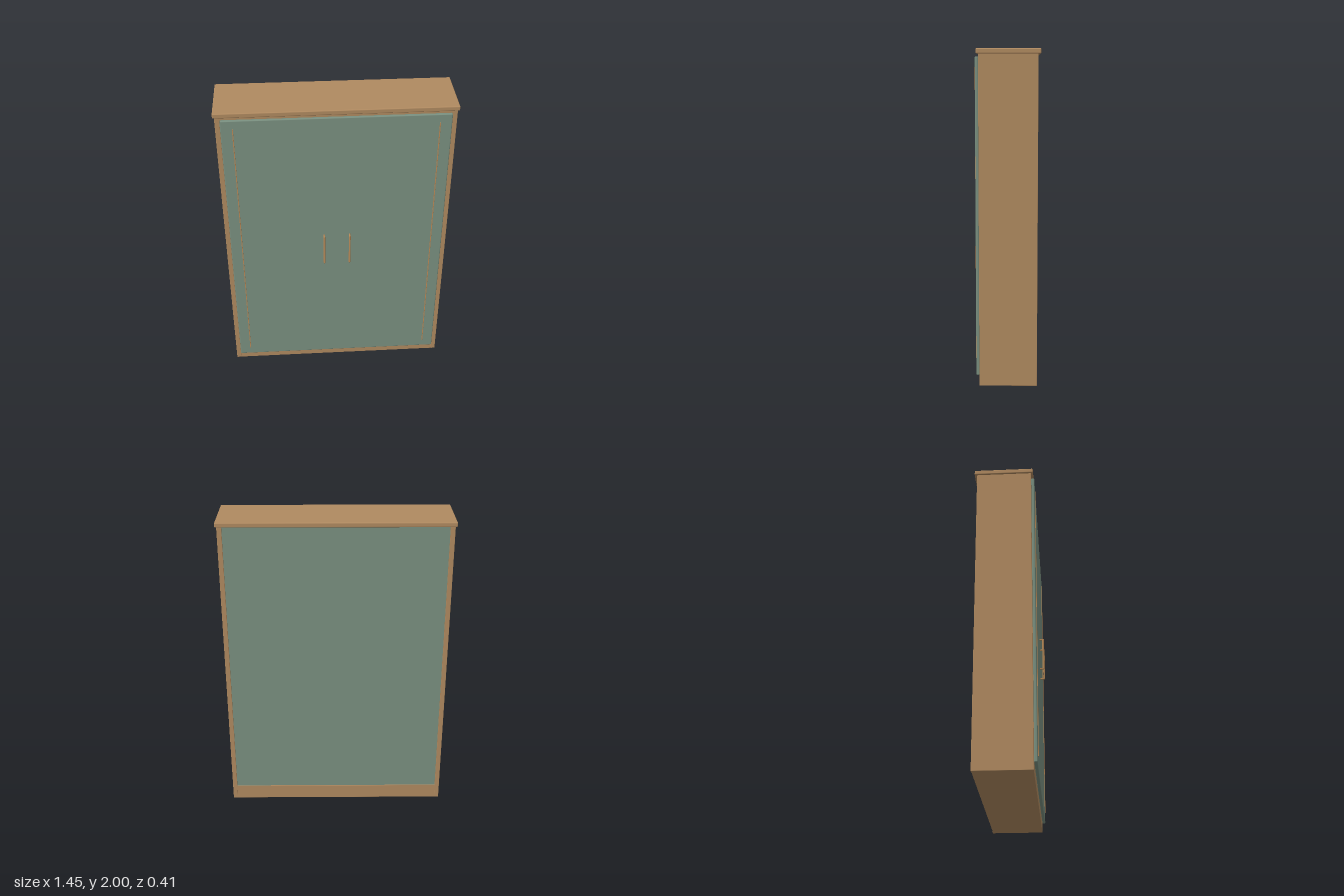
import * as THREE from 'three';
import { RoundedBoxGeometry } from 'three/addons/geometries/RoundedBoxGeometry.js';

export function createModel() {
  const model = new THREE.Group();
  model.name = 'wardrobe';
  const wood = new THREE.MeshStandardMaterial({ color: 0xb08a60 });
  const paint = new THREE.MeshStandardMaterial({ color: 0x7a9080 });
  const trim = new THREE.MeshStandardMaterial({ color: 0xb98a58 });

  // Softly rounded board given by its minimum and maximum corners
  function board(name, material, [x0, y0, z0], [x1, y1, z1], radius = 0.002) {
    const geometry = new RoundedBoxGeometry(x1 - x0, y1 - y0, z1 - z0, 2, radius);
    const mesh = new THREE.Mesh(geometry, material);
    mesh.position.set((x0 + x1) / 2, (y0 + y1) / 2, (z0 + z1) / 2);
    mesh.name = name;
    model.add(mesh);
  }

  // Carcass
  board('topBoard', wood, [-0.725, 1.97, -0.205], [0.725, 2, 0.168], 0.006);
  board('bottomBoard', wood, [-0.686, 0.075, -0.18], [0.686, 0.1, 0.15]);
  board('plinth', wood, [-0.687, 0, -0.188], [0.687, 0.078, 0.154]);
  board('rearRail', wood, [-0.687, 0.07, -0.188], [0.687, 0.1, -0.17]);
  board('headRail', wood, [-0.687, 1.935, -0.17], [0.687, 1.972, 0.15]);
  board('backPanel', paint, [-0.687, 0.098, -0.184], [0.687, 1.971, -0.17]);

  // Door front with softened edges
  board('doorFront', paint, [-0.684, 0.055, 0.155], [0.684, 1.955, 0.175], 0.006);

  for (const [side, s] of [['left', 1], ['right', -1]]) {
    const x = 0.7 * s;
    board(side + 'SidePanel', wood, [x - 0.015, 0, -0.19], [x + 0.015, 1.972, 0.155]);

    // Slim vertical inlay
    const t = 0.612 * s;
    board(side + 'TrimStrip', trim, [t - 0.003, 0.11, 0.17], [t + 0.003, 1.9, 0.179], 0.001);

    // Bar handle on two posts
    const handle = new THREE.Group();
    handle.name = side + 'Handle';
    handle.position.set(0.082 * s, 0.99, 0);
    const bar = new THREE.Mesh(new THREE.CapsuleGeometry(0.006, 0.21, 6, 16), trim);
    bar.name = 'handleBar';
    bar.position.z = 0.199;
    handle.add(bar);
    for (const v of [-1, 1]) {
      const post = new THREE.Mesh(new THREE.CylinderGeometry(0.005, 0.005, 0.027, 16), trim);
      post.name = 'handlePost';
      post.rotation.x = Math.PI / 2;
      post.position.set(0, 0.105 * v, 0.186);
      handle.add(post);
    }
    model.add(handle);
  }
  return model;
}
